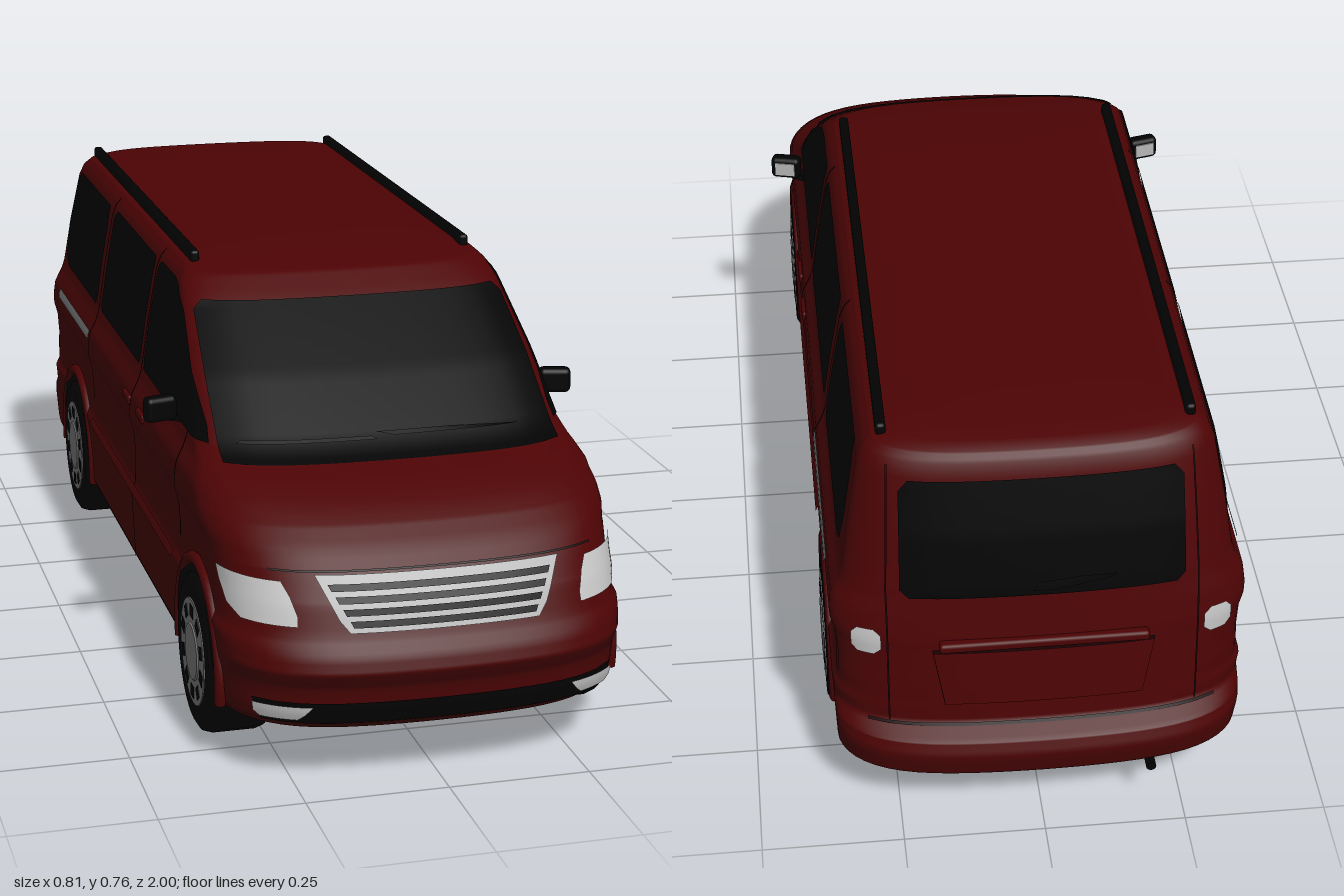
import * as THREE from 'three';
import { RoundedBoxGeometry } from 'three/addons/geometries/RoundedBoxGeometry.js';

const mat = (name, color, side = THREE.FrontSide) => {
  const m = new THREE.MeshStandardMaterial({ color, side });
  m.name = name;
  return m;
};

// Body profiles, each a list of [height, value]
const WIDTH = [[.10, .345], [.12, .354], [.24, .359], [.255, .36], [.27, .352], [.33, .350], [.375, .353], [.40, .36], [.42, .361], [.45, .357],
  [.48, .342], [.50, .336], [.60, .321], [.70, .303], [.725, .293], [.74, .278], [.748, .255], [.753, .21], [.757, .1]];
const FRONT = [[.10, .945], [.115, .965], [.14, .975], [.18, .98], [.20, .992], [.215, 1], [.24, .993], [.27, .975], [.32, .955], [.37, .925],
  [.40, .895], [.43, .855], [.45, .815], [.47, .76], [.49, .69], [.505, .655], [.60, .525], [.70, .37], [.735, .31], [.748, .24], [.753, .17], [.757, 0]];
const REAR = [[.10, -.93], [.115, -.96], [.13, -.985], [.18, -1], [.205, -.99], [.225, -.957], [.30, -.952], [.40, -.945], [.50, -.93],
  [.60, -.91], [.70, -.885], [.725, -.875], [.74, -.862], [.748, -.84], [.753, -.78], [.757, -.6]];
const FRONT_CORNER = [[.10, .2], [.44, .2], [.49, .13], [.60, .10], [.757, .08]];
const REAR_CORNER = [[.10, .13], [.20, .13], [.30, .1], [.757, .08]];

function at(table, y) {
  if (y <= table[0][0]) return table[0][1];
  for (let i = 1; i < table.length; i++) {
    const [y0, a] = table[i - 1], [y1, b] = table[i];
    if (y <= y1) return a + (b - a) * (y - y0) / (y1 - y0);
  }
  return table[table.length - 1][1];
}
// How far the nose or tail falls back at a fraction u of the half width
const fall = u => .2 * u * u + .8 * (1 - Math.sqrt(Math.max(0, 1 - Math.abs(u) ** 5)));

// Points on the body skin, lifted by e
function onFront(y, x, e) {
  const w = at(WIDTH, y), u = Math.max(-1, Math.min(1, x / w));
  return [x * (1 + e / w), y, at(FRONT, y) - at(FRONT_CORNER, y) * fall(u) + e];
}
function onRear(y, x, e) {
  const w = at(WIDTH, y), u = Math.max(-1, Math.min(1, x / w));
  return [x * (1 + e / w), y, at(REAR, y) + at(REAR_CORNER, y) * fall(u) - e];
}
const onSide = s => (y, z, e) => {
  const df = (at(FRONT, y) - z) / at(FRONT_CORNER, y), dr = (z - at(REAR, y)) / at(REAR_CORNER, y);
  const d = Math.min(df, dr);
  let lo = 0, hi = 1;
  for (let i = 0; i < 24 && d < 1; i++) {
    const mid = (lo + hi) / 2;
    if (fall(mid) < d) lo = mid; else hi = mid;
  }
  return [s * (at(WIDTH, y) * (d < 1 ? lo : 1) + e), y, z];
};

function geometry(pos, idx) {
  const g = new THREE.BufferGeometry();
  g.setAttribute('position', new THREE.Float32BufferAttribute(pos, 3));
  g.setIndex(idx);
  g.computeVertexNormals();
  return g;
}

// Horizontal outline of the body at one height
function ring(y) {
  const w = at(WIDTH, y), f = at(FRONT, y), r = at(REAR, y);
  const kf = at(FRONT_CORNER, y), kr = at(REAR_CORNER, y), half = [], n = 16;
  for (let i = 0; i <= n; i++) {
    const u = Math.sin(i / n * Math.PI / 2);
    half.push([w * u, f - kf * fall(u)]);
  }
  for (let i = 1; i < 8; i++) half.push([w, f - kf + (r + kr - f + kf) * i / 8]);
  for (let i = n; i >= 0; i--) {
    const u = Math.sin(i / n * Math.PI / 2);
    half.push([w * u, r + kr * fall(u)]);
  }
  const other = half.slice(1, -1).reverse().map(([x, z]) => [-x, z]);
  return half.concat(other).map(([x, z]) => [x, y, z]);
}

function bodyGeometry() {
  const ys = [...new Set([WIDTH, FRONT, REAR].flat().map(p => p[0]))].sort((a, b) => a - b);
  const levels = ys.flatMap((y, i) => i ? [(y + ys[i - 1]) / 2, y] : [y]);
  const rings = levels.map(ring), n = rings[0].length, pos = rings.flat(2), idx = [];
  for (let j = 0; j < rings.length - 1; j++) for (let i = 0; i < n; i++) {
    const a = j * n + i, b = j * n + (i + 1) % n;
    idx.push(a, b, b + n, a, b + n, a + n);
  }
  const top = (rings.length - 1) * n;
  pos.push(0, .758, -.3);
  for (let i = 0; i < n; i++) idx.push(rings.length * n, top + i, top + (i + 1) % n);
  return geometry(pos, idx);
}

function floorGeometry() {
  const r = ring(.10), n = r.length, idx = [];
  for (let i = 0; i < n; i++) idx.push(n, (i + 1) % n, i);
  return geometry([...r.flat(), 0, .10, 0], idx);
}

// Thin plate following the skin; rows are [height, start, end]
function patch(rows, place, flip, e = .004, cols = 18) {
  const fine = [rows[0]];
  for (let i = 1; i < rows.length; i++) {
    const p = rows[i - 1], q = rows[i], n = Math.max(1, Math.ceil((q[0] - p[0]) / .012));
    for (let k = 1; k <= n; k++) fine.push(p.map((v, c) => v + (q[c] - v) * k / n));
  }
  const pos = [], idx = [], n = cols + 1;
  for (const [y, a, b] of fine) for (let i = 0; i <= cols; i++) pos.push(...place(y, a + (b - a) * i / cols, e));
  for (let j = 0; j < fine.length - 1; j++) for (let i = 0; i < cols; i++) {
    const a = j * n + i, b = a + 1, c = b + n, d = a + n;
    if (flip) idx.push(a, c, b, a, d, c); else idx.push(a, b, c, a, c, d);
  }
  return geometry(pos, idx);
}
const lathe = profile => new THREE.LatheGeometry(profile.map(p => new THREE.Vector2(...p)), 40);

export function createModel() {
  const van = new THREE.Group();
  van.name = 'van';
  const D = THREE.DoubleSide;
  const paint = mat('redPaint', 0x4d0304), glass = mat('darkGlass', 0x020202, D), trim = mat('blackTrim', 0x020202, D);
  const rubber = mat('tyreRubber', 0x030303), chrome = mat('chrome', 0xb8b8b8, D), rim = mat('wheelMetal', 0x858585, D);
  const lamp = mat('lampGlass', 0xc6c6c6, D), seam = mat('doorGap', 0x1a0202, D);
  const add = (name, geo, m, x = 0, y = 0, z = 0, parent = van) => {
    const mesh = new THREE.Mesh(geo, m);
    mesh.name = name;
    mesh.position.set(x, y, z);
    parent.add(mesh);
    return mesh;
  };
  const box = (w, h, d) => new THREE.BoxGeometry(w, h, d);
  const front = (name, rows, m, e) => add(name, patch(rows, onFront, false, e), m);
  const rear = (name, rows, m, e) => add(name, patch(rows, onRear, true, e), m);

  add('body', bodyGeometry(), paint);
  add('underside', floorGeometry(), trim);

  // Front face
  front('windscreen', [[.488, -.302, .302], [.50, -.302, .302], [.60, -.297, .297], [.685, -.288, .288], [.70, -.272, .272]], glass, .005);
  front('wiperRight', [[.512, -.27, -.03], [.517, -.26, -.04]], trim, .01);
  front('wiperLeft', [[.516, .0, .23], [.522, -.03, .1]], trim, .01);
  front('grille', [[.28, -.162, .162], [.30, -.178, .178], [.368, -.21, .21]], chrome, .005);
  for (let i = 0; i < 4; i++) {
    const y = .289 + i * .0185, w = .155 + i * .01;
    front('grilleSlot', [[y, -w, w], [y + .0105, -w - .005, w + .005]], trim, .008);
  }
  front('bonnetGap', [[.371, -.28, .28], [.374, -.28, .28]], seam);
  front('lowerGrille', [[.118, -.30, .30], [.158, -.315, .315]], trim);
  for (const s of [-1, 1]) {
    const mirrored = rows => rows.map(([y, a, b]) => s > 0 ? [y, a, b] : [y, -b, -a]);
    front('headlight', mirrored([[.289, .244, .325], [.305, .243, .34], [.335, .252, .345], [.357, .263, .347]]), lamp, .005);
    front('fogLight', mirrored([[.126, .245, .30], [.135, .235, .31], [.152, .222, .312]]), lamp, .008);
    rear('tailLight', mirrored([[.372, .285, .312], [.384, .273, .322], [.412, .273, .322], [.424, .285, .312]]), lamp, .006);
    rear('tailgateSideGap', mirrored([[.23, .262, .265], [.50, .262, .265], [.72, .252, .255]]), seam);
  }

  // Rear face
  rear('rearWindow', [[.488, -.225, .225], [.503, -.24, .24], [.68, -.236, .236], [.70, -.22, .22]], glass, .005);
  rear('rearWiper', [[.50, -.02, .02], [.515, -.11, .01], [.522, -.12, -.06]], trim, .01);
  rear('plateRecess', [[.268, -.17, .17], [.385, -.19, .19]], seam, .003);
  rear('plateRecessPanel', [[.270, -.168, .168], [.38, -.187, .187]], paint, .006);
  rear('bumperGap', [[.223, -.3, .3], [.228, -.3, .3]], seam);
  add('tailgateHandle', new RoundedBoxGeometry(.36, .018, .02, 2, .006), paint, 0, .395, -.947);
  add('exhaustPipe', new THREE.CylinderGeometry(.009, .009, .09, 12).rotateX(Math.PI / 2), trim, -.19, .103, -.925);

  for (const s of [-1, 1]) {
    const side = (name, rows, m, e) => add(name, patch(rows, onSide(s), s > 0, e), m);
    // Side glass
    side('frontDoorWindow', [[.505, .10, .585], [.53, .092, .555], [.60, .09, .45], [.68, .09, .33], [.712, .095, .265], [.718, .11, .23]], glass);
    side('middleWindow', [[.505, -.345, .05], [.515, -.36, .06], [.705, -.36, .06], [.716, -.345, .05]], glass);
    side('rearSideWindow', [[.505, -.76, -.42], [.525, -.795, -.41], [.59, -.81, -.41], [.68, -.79, -.41], [.712, -.77, -.42]], glass);
    // Door gaps, sliding rail and handles
    for (const [z, low, high] of [[.077, .12, .735], [-.385, .31, .735], [.50, .31, .56]])
      side('doorGap', [[low, z - .003, z + .003], [high, z - .003, z + .003]], seam, .003);
    side('sillGap', [[.125, -.38, .46], [.129, -.38, .46]], seam, .003);
    side('slidingRail', [[.436, -.76, -.39], [.455, -.76, -.39]], rim, .005);
    side('rubStrip', [[.254, -.38, .46], [.268, -.38, .46]], paint, .005);
    for (const z of [.17, .035])
      add('doorHandle', new RoundedBoxGeometry(.012, .018, .06, 2, .005), paint, s * .359, .435, z);

    // Roof rail
    add('roofRail', new RoundedBoxGeometry(.018, .022, 1.02, 2, .006), trim, s * .261, .751, -.29);

    // Door mirror
    const mirror = new THREE.Group();
    mirror.name = 'doorMirror';
    mirror.position.set(s * .374, .528, .43);
    mirror.rotation.y = s * -.25;
    van.add(mirror);
    add('mirrorShell', new RoundedBoxGeometry(.06, .046, .03, 3, .01), trim, 0, 0, 0, mirror);
    add('mirrorGlass', box(.04, .028, .003), chrome, 0, 0, -.0155, mirror);
    add('mirrorArm', box(.046, .012, .02), trim, s * -.028, -.02, 0, mirror).rotation.z = s * .25;

    // Wheels and arches
    for (const z of [.65, -.58]) {
      const arch = [];
      for (let i = 0; i <= 14; i++) {
        const t = -.28 + (Math.PI / 2 + .28) * i / 14, h = .156 * Math.cos(t);
        arch.push([.145 + .156 * Math.sin(t), z - h, z + h]);
      }
      side('wheelArch', arch, trim, .003);
      const flare = add('archFlare', new THREE.TorusGeometry(.166, .012, 8, 32, Math.PI + .4).rotateZ(-.2).rotateY(Math.PI / 2), paint, s * .353, .145, z);
      flare.scale.x = .9;

      const wheel = new THREE.Group();
      wheel.name = 'wheel';
      wheel.position.set(s * .305, .145, z);
      wheel.rotation.z = -s * Math.PI / 2;
      van.add(wheel);
      add('tyre', lathe([[.104, -.055], [.125, -.055], [.14, -.05], [.145, -.035], [.145, .038], [.14, .053], [.128, .06], [.102, .06], [0, .055]]), rubber, 0, 0, 0, wheel);
      add('innerRim', lathe([[.104, -.055], [.1, .02], [.06, .035], [0, .035]]), rim, 0, 0, 0, wheel);
      add('wheelRim', new THREE.CylinderGeometry(.096, .098, .006, 36), rim, 0, .0585, 0, wheel);
      add('hubCap', new THREE.CylinderGeometry(.05, .053, .003, 28), rim, 0, .0625, 0, wheel);
      for (let i = 0; i < 10; i++) {
        const a = i / 10 * Math.PI * 2;
        const hole = add('rimHole', box(.022, .003, .024), trim, Math.cos(a) * .075, .061, Math.sin(a) * .075, wheel);
        hole.rotation.y = -a;
      }
    }
  }
  return van;
}
